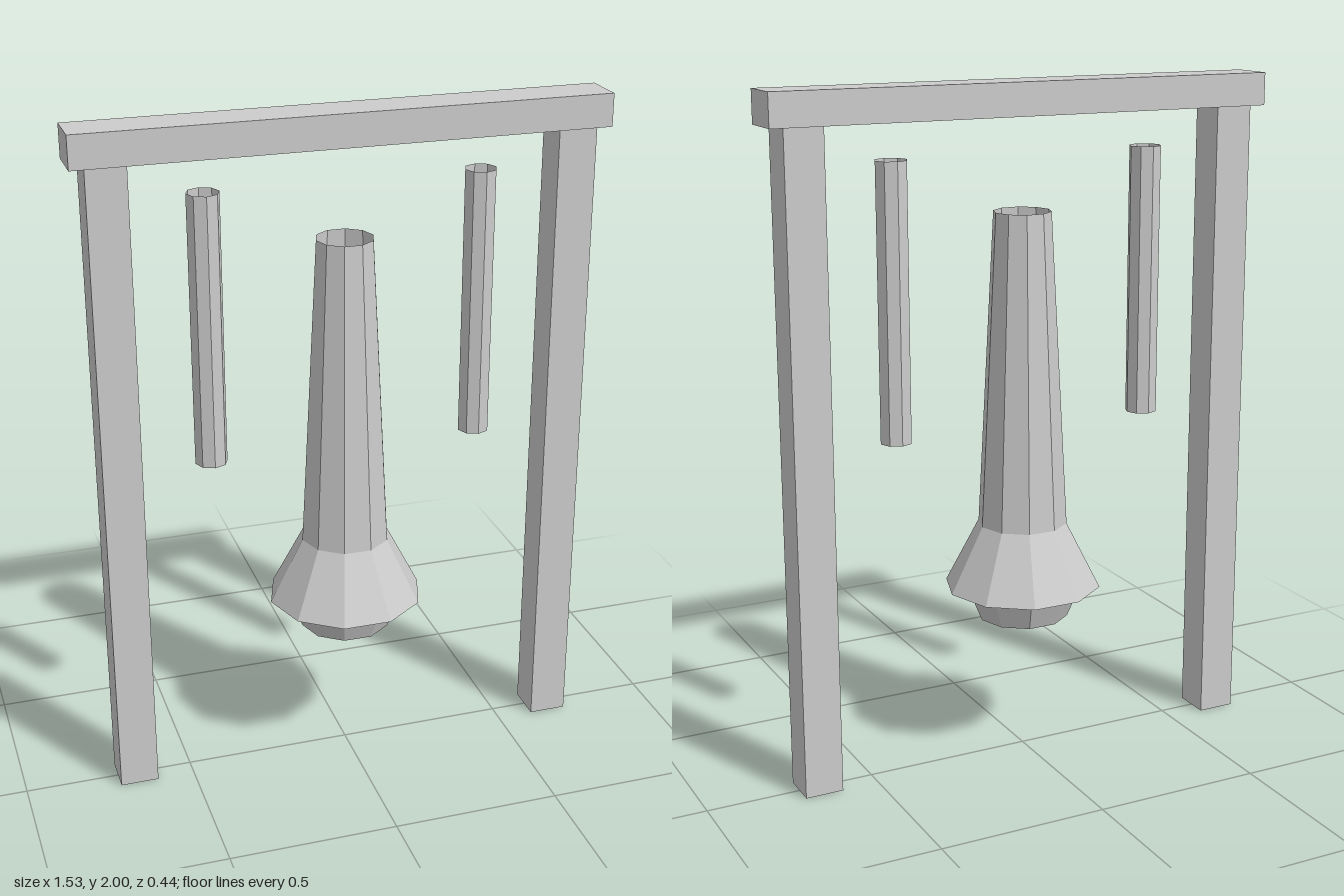
import * as THREE from 'three';

export function createModel() {
  const model = new THREE.Group();
  model.name = 'hangingBellFrame';

  const grey = new THREE.MeshStandardMaterial({ color: 0xcccccc });
  grey.name = 'plain grey';
  grey.flatShading = true;
  grey.side = THREE.DoubleSide;

  const add = (name, geometry, x, y, z) => {
    const mesh = new THREE.Mesh(geometry, grey);
    mesh.name = name;
    mesh.position.set(x, y, z);
    model.add(mesh);
  };

  // Open faceted shell with a corner on the x axis
  const shell = (name, rTop, rBottom, yTop, yBottom, sides, x = 0) => {
    const geometry = new THREE.CylinderGeometry(rTop, rBottom, yTop - yBottom, sides, 1, true);
    geometry.rotateY(Math.PI / 2);
    add(name, geometry, x, (yTop + yBottom) / 2, 0);
  };

  // Frame: crossbeam on two posts
  add('crossbeam', new THREE.BoxGeometry(1.53, 0.095, 0.134), 0, 1.9525, 0);
  for (const [side, s] of [['left', 1], ['right', -1]]) {
    add(side + 'Post', new THREE.BoxGeometry(0.113, 1.905, 0.113), s * 0.667, 0.9525, 0);
    // Hollow tube hanging inside each post
    shell(side + 'Tube', 0.047, 0.047, 1.8, 1.005, 8, s * 0.4);
  }

  // Central hollow bell: long neck, flared skirt and separate lower band
  shell('bellNeck', 0.084, 0.132, 1.635, 0.712, 10);
  shell('bellSkirt', 0.132, 0.232, 0.712, 0.518, 10);
  shell('bellBand', 0.175, 0.135, 0.518, 0.422, 10);

  return model;
}
